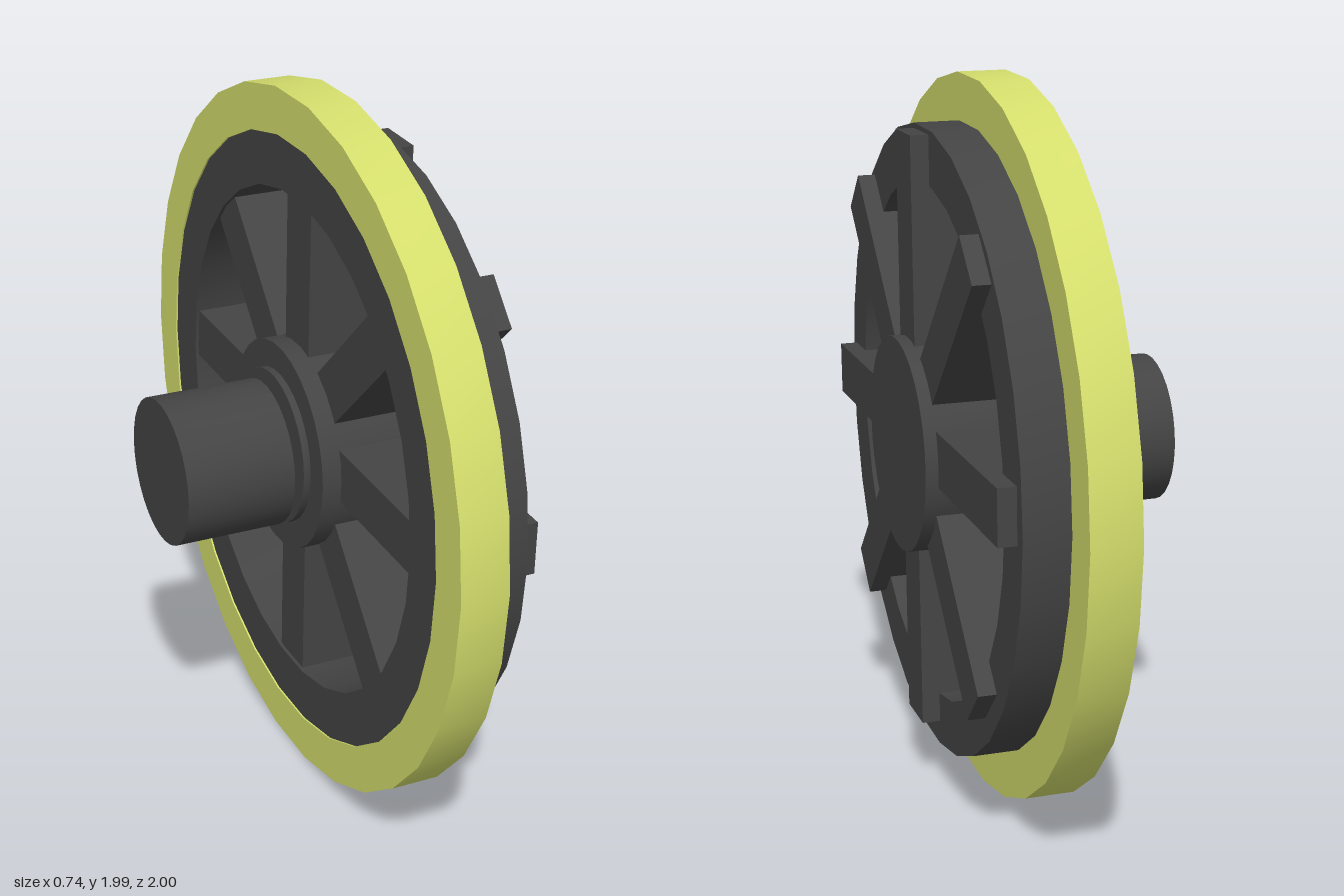
import * as THREE from 'three';
import { toCreasedNormals } from 'three/addons/utils/BufferGeometryUtils.js';

const SIDES = 30;
const dark = new THREE.MeshStandardMaterial({ color: 0x444444 });
const yellow = new THREE.MeshStandardMaterial({ color: 0xd4de6c });

// Ring (or solid disc when inner = 0) turned about the x axis, from x0 to x1
function turned(name, inner, outer, x0, x1, material, y = 1) {
  const profile = [[inner, x0], [outer, x0], [outer, x1], [inner, x1]];
  if (inner > 0) profile.push([inner, x0]);
  const lathe = new THREE.LatheGeometry(profile.map(([r, x]) => new THREE.Vector2(r, x)), SIDES);
  const mesh = new THREE.Mesh(toCreasedNormals(lathe.rotateZ(-Math.PI / 2), 0.6), material);
  mesh.name = name;
  mesh.position.y = y;
  return mesh;
}

export function createModel() {
  const wheel = new THREE.Group();
  wheel.name = 'wheel';

  // Tyre and rim
  wheel.add(turned('tyre', 0.87, 1, 0.02, 0.155, yellow));
  wheel.add(turned('rim', 0.72, 0.87, 0.025, 0.28, dark));

  // Hub, collar and axle with its narrow neck
  wheel.add(turned('hub', 0, 0.298, -0.02, 0.365, dark));
  wheel.add(turned('collar', 0, 0.22, -0.04, -0.02, dark));
  wheel.add(turned('neck', 0, 0.1, -0.06, -0.04, dark, 0.985));
  wheel.add(turned('axle', 0, 0.207, -0.37, -0.06, dark, 0.985));

  // Four full-width bars crossing at the hub make eight spokes
  const spokes = new THREE.Group();
  spokes.name = 'spokes';
  spokes.position.y = 1.027;
  const bar = new THREE.BoxGeometry(0.295, 1.65, 0.15);
  for (let i = 0; i < 4; i++) {
    const spoke = new THREE.Mesh(bar, dark);
    spoke.name = 'spokePair';
    spoke.position.x = 0.1825;
    spoke.rotation.x = 0.028 + (i * Math.PI) / 4;
    spokes.add(spoke);
  }
  wheel.add(spokes);
  return wheel;
}
